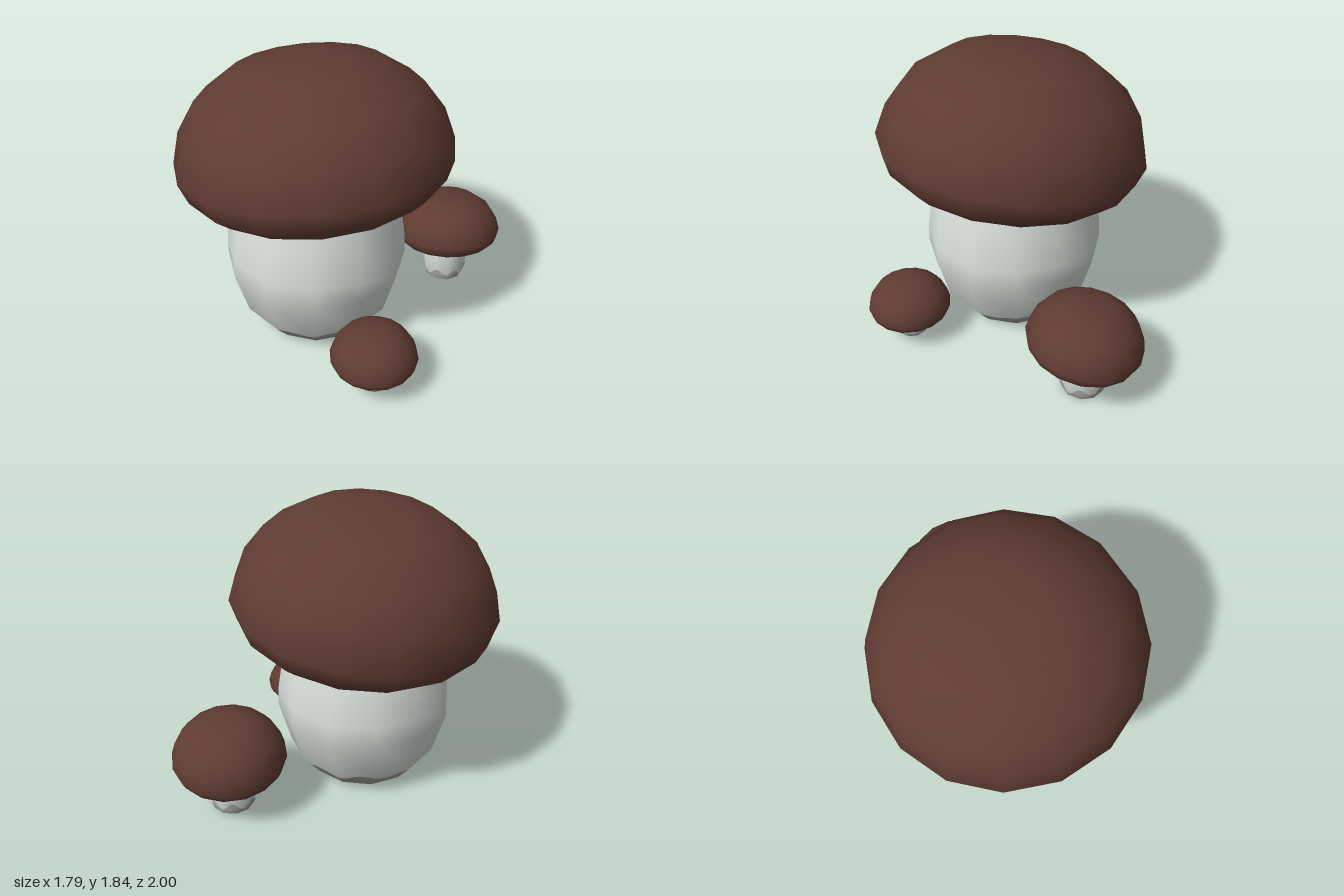
import * as THREE from 'three';

const mat = (name, color) => Object.assign(new THREE.MeshStandardMaterial({ color }), { name });

// Cap outline for the largest mushroom, from the underside hollow round the rim to the crown
const CAP = [
  [0.40, -0.10], [0.52, -0.15], [0.62, -0.24], [0.72, -0.21], [0.81, -0.13], [0.858, 0],
  [0.80, 0.2], [0.68, 0.38], [0.45, 0.54], [0.24, 0.58], [0.0, 0.59],
];

function addMesh(parent, name, geometry, material) {
  const m = new THREE.Mesh(geometry, material);
  m.name = name;
  parent.add(m);
  return m;
}

const lathe = (pts, sides, start = 0) =>
  new THREE.LatheGeometry(pts.map(([r, y]) => new THREE.Vector2(r, y)), sides, start);

// Radius of a profile at a given height
function radiusAt(profile, y) {
  for (let i = 1; i < profile.length; i++) {
    const [r0, y0] = profile[i - 1], [r1, y1] = profile[i];
    if (y <= y1) return r0 + (r1 - r0) * (y - y0) / (y1 - y0);
  }
  return profile[profile.length - 1][0];
}

// Thin wavy band hugging the faceted foot of a stem
function soilBand(profile, sides, low, high, lobes) {
  const cols = sides * 8, rows = 8, step = Math.PI * 2 / sides;
  const pos = [], nor = [], idx = [];
  const bottom = profile[0][1];
  for (let i = 0; i <= cols; i++) {
    const a = i / cols * Math.PI * 2;
    const wave = 0.5 + 0.36 * Math.sin(lobes * a + 1.2) + 0.14 * Math.sin(4 * a);
    const top = low + (high - low) * wave;
    const facet = Math.cos(step / 2) / Math.cos((a % step) - step / 2);
    for (let j = 0; j <= rows; j++) {
      const y = bottom + (top - bottom) * j / rows;
      const r = radiusAt(profile, y) * facet + 0.004;
      const slope = (radiusAt(profile, y + 0.05) - radiusAt(profile, y)) / 0.05;
      const n = new THREE.Vector3(Math.sin(a), -slope, Math.cos(a)).normalize();
      pos.push(r * Math.sin(a), y, r * Math.cos(a));
      nor.push(n.x, n.y, n.z);
      if (i < cols && j < rows) {
        const p = i * (rows + 1) + j, q = p + rows + 1;
        idx.push(p, q, p + 1, q, q + 1, p + 1);
      }
    }
  }
  const g = new THREE.BufferGeometry();
  g.setAttribute('position', new THREE.Float32BufferAttribute(pos, 3));
  g.setAttribute('normal', new THREE.Float32BufferAttribute(nor, 3));
  g.setIndex(idx);
  return g;
}

export function createModel() {
  const brown = mat('capBrown', 0x5f3b32);
  const pale = mat('stemPale', 0xd6ddd7);
  const soil = mat('soilGrey', 0xa0a5a0);
  const model = new THREE.Group();
  model.name = 'mushroomCluster';

  const mushrooms = [
    { name: 'largeMushroom', x: -0.055, z: 0.163, scale: 1, rim: 1.23, slope: [0.118, 0.055], turn: Math.PI / 16,
      sides: 12, soil: [0.08, 0.18, 9],
      stem: [[0.37, 0.02], [0.5, 0.18], [0.58, 0.47], [0.575, 0.6], [0.54, 0.82], [0.47, 1.03], [0.42, 1.16]] },
    { name: 'backMushroom', x: 0.535, z: -0.64, scale: 0.422, rim: 0.38, slope: [0.1, 0.14], turn: 0,
      sides: 10, soil: [0.03, 0.1, 7],
      stem: [[0.13, 0.005], [0.147, 0.06], [0.153, 0.16], [0.148, 0.27], [0.14, 0.37]] },
    { name: 'frontMushroom', x: 0.605, z: 0.59, scale: 0.312, rim: 0.22, slope: [0, 0.01], turn: 0,
      sides: 10, soil: [0.025, 0.075, 7],
      stem: [[0.09, 0], [0.12, 0.04], [0.132, 0.1], [0.128, 0.15], [0.115, 0.2]] },
  ];

  for (const m of mushrooms) {
    const g = new THREE.Group();
    g.name = m.name;
    g.position.set(m.x, 0, m.z);
    model.add(g);

    // Stem with a soiled foot
    addMesh(g, 'stem', lathe(m.stem, m.sides), pale);
    addMesh(g, 'soilBand', soilBand(m.stem, m.sides, ...m.soil), soil);
    const base = addMesh(g, 'stemBase', new THREE.CircleGeometry(m.stem[0][0] + 0.004, m.sides), soil);
    base.rotation.set(Math.PI / 2, 0, Math.PI / 2);
    base.position.y = m.stem[0][1];

    // Tilted cap
    const cap = addMesh(g, 'cap', lathe(CAP, 16, m.turn), brown);
    cap.scale.setScalar(m.scale);
    cap.position.y = m.rim;
    cap.quaternion.setFromUnitVectors(new THREE.Vector3(0, 1, 0),
      new THREE.Vector3(-m.slope[0], 1, -m.slope[1]).normalize());
  }
  return model;
}
